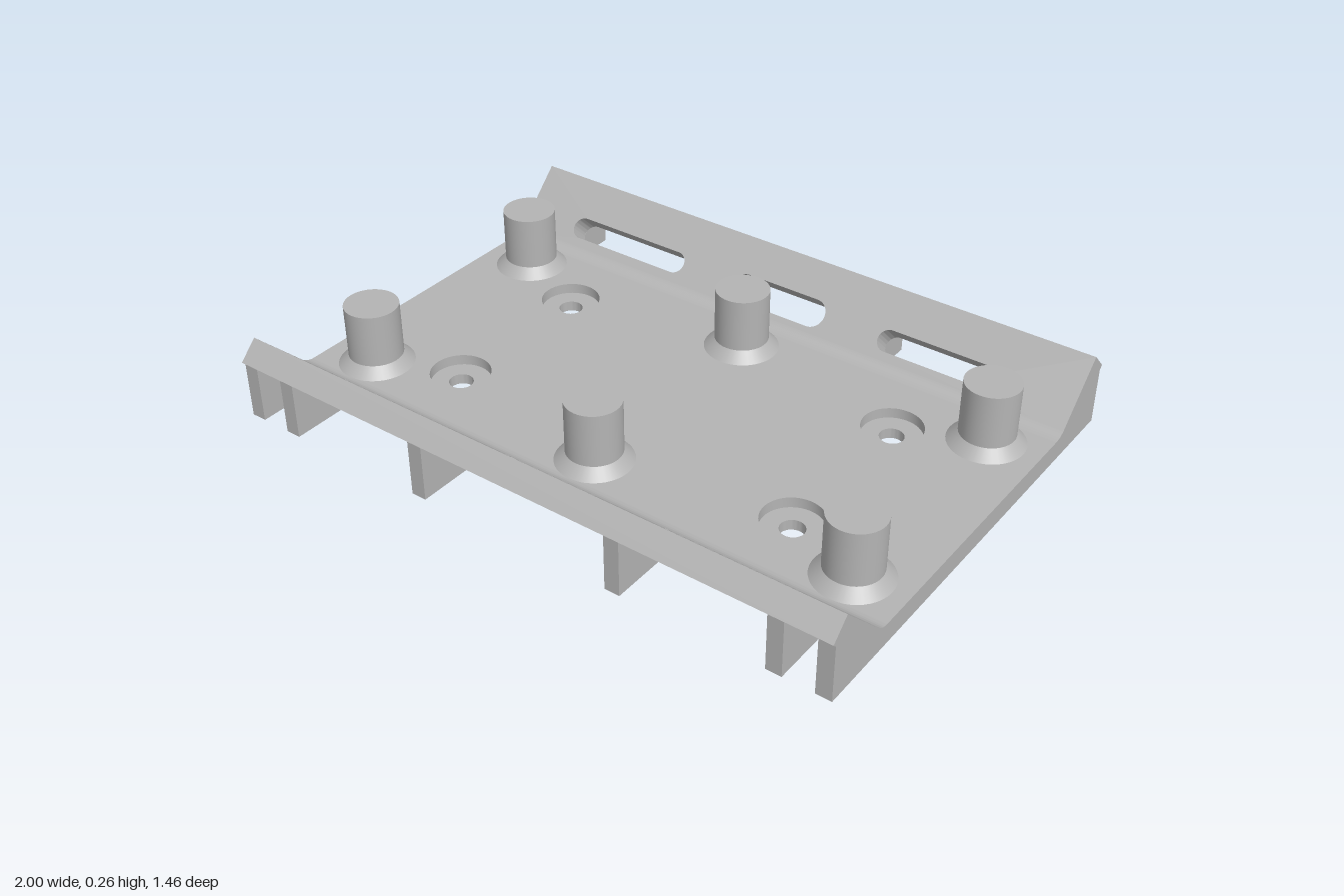
import * as THREE from 'three';
import { toCreasedNormals } from 'three/addons/utils/BufferGeometryUtils.js';

const PLATE_TOP = 0.066, PLATE_Z = 0.493, WING_T = 0.08, WING_LEN = 0.253;
const v = (x, y, z) => new THREE.Vector3(x, y, z);

export function createModel() {
  const model = new THREE.Group();
  model.name = 'mountingTray';
  const grey = new THREE.MeshStandardMaterial({ color: 0xb4b4b4 });
  grey.name = 'plain grey';

  const add = (parent, name, geometry) => {
    const mesh = new THREE.Mesh(geometry, grey);
    mesh.name = name;
    parent.add(mesh);
    return mesh;
  };
  const extrude = (shape, depth) => toCreasedNormals(
    new THREE.ExtrudeGeometry(shape, { depth, bevelEnabled: false, curveSegments: 20 }), 0.6);
  const rect = (x0, y0, x1, y1) => new THREE.Shape([[x0, y0], [x1, y0], [x1, y1], [x0, y1]]
    .map(([x, y]) => new THREE.Vector2(x, y)));

  // Extrudes a (z, y) profile along x, centred on the given x
  const alongX = (shape, width, x = 0) => extrude(shape, width).applyMatrix4(
    new THREE.Matrix4().makeBasis(v(0, 0, 1), v(0, 1, 0), v(-1, 0, 0)).setPosition(x + width / 2, 0, 0));

  // Base plate in two layers: bolt holes below, wider counterbores above
  const plateLayer = (name, radius, y0, y1) => {
    const shape = rect(-1, -PLATE_Z, 1, PLATE_Z);
    for (const x of [-0.59, 0.59]) for (const z of [-0.26, 0.26])
      shape.holes.push(new THREE.Path().absarc(x, z, radius, 0, Math.PI * 2, true));
    add(model, name, extrude(shape, y1 - y0).rotateX(Math.PI / 2).translate(0, y1, 0));
  };
  plateLayer('plateBottomWithBoltHoles', 0.037, 0, 0.033);
  plateLayer('plateTopWithCounterbores', 0.092, 0.033, PLATE_TOP);

  // Posts with flared feet
  for (const x of [-0.836, 0, 0.836]) for (const z of [-0.36, 0.36]) {
    const post = new THREE.Group();
    post.name = 'post';
    post.position.set(x, PLATE_TOP, z);
    add(post, 'postShaft', new THREE.CylinderGeometry(0.083, 0.083, 0.199, 40)).position.y = 0.0995;
    add(post, 'postFoot', new THREE.CylinderGeometry(0.083, 0.115, 0.032, 40, 1, true)).position.y = 0.016;
    model.add(post);
  }

  // Rounded slot outline in the plane of the wing
  const slot = (x0, x1, s, r) => new THREE.Path()
    .moveTo(x0 + r, s - r).lineTo(x1 - r, s - r)
    .absarc(x1 - r, s, r, -Math.PI / 2, Math.PI / 2, false)
    .lineTo(x0 + r, s + r)
    .absarc(x0 + r, s, r, Math.PI / 2, Math.PI * 1.5, false);

  // One sloping side wing, turned round for the back
  for (const [name, turn] of [['frontWing', 0], ['backWing', Math.PI]]) {
    const wing = new THREE.Group();
    wing.name = name;
    wing.rotation.y = turn;
    model.add(wing);

    const panel = rect(-1, 0, 1, WING_LEN);
    panel.holes.push(slot(-0.81, -0.362, 0.089, 0.035), slot(-0.171, 0.171, 0.089, 0.045),
      slot(0.362, 0.81, 0.089, 0.035));
    const c = Math.SQRT1_2;
    add(wing, 'slottedPanel', extrude(panel, WING_T).applyMatrix4(
      new THREE.Matrix4().makeBasis(v(1, 0, 0), v(0, c, c), v(0, -c, c)).setPosition(0, PLATE_TOP, PLATE_Z)));

    // Wedge joining plate and panel, and the fillet in the inner bend
    const root = new THREE.Shape().moveTo(PLATE_Z, 0).lineTo(0.54, 0)
      .lineTo(PLATE_Z + WING_T * c, PLATE_TOP - WING_T * c).lineTo(PLATE_Z, PLATE_TOP);
    add(wing, 'wingRoot', alongX(root, 2));
    const fillet = new THREE.Shape().moveTo(0.467, PLATE_TOP).lineTo(PLATE_Z, PLATE_TOP)
      .lineTo(0.511, 0.084).quadraticCurveTo(PLATE_Z, PLATE_TOP + 0.001, 0.467, PLATE_TOP);
    add(wing, 'innerFillet', alongX(fillet, 2));

    // Triangular ribs under the wing
    const rib = new THREE.Shape().moveTo(0.535, 0).lineTo(0.717, 0).lineTo(0.717, 0.178);
    for (const x of [0.337, 0.833, 0.976]) for (const side of [-1, 1])
      add(wing, 'rib', alongX(rib, 0.048, side * x));
  }
  return model;
}
